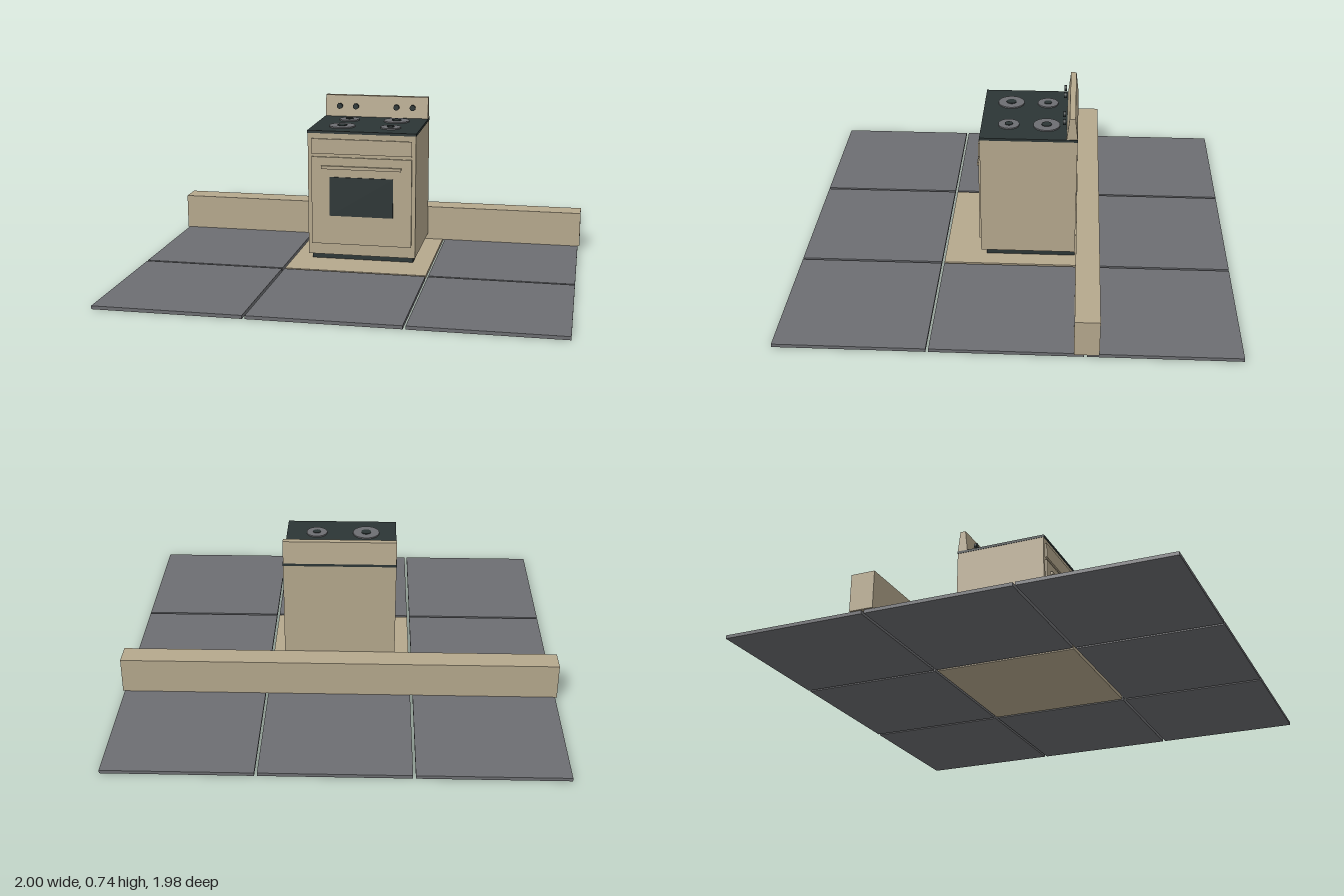
import * as THREE from 'three';

function mat(name, color) {
  const m = new THREE.MeshStandardMaterial({ color });
  m.name = name;
  return m;
}

export function createModel() {
  const model = new THREE.Group();
  model.name = 'kitchenStove';
  const beige = mat('beige enamel', 0xb5a88d);
  const grey = mat('slate grey', 0x6d6e72);
  const dark = mat('dark glass', 0x2c3535);

  function add(name, geometry, material, x = 0, y = 0, z = 0, parent = model) {
    const mesh = new THREE.Mesh(geometry, material);
    mesh.name = name;
    mesh.position.set(x, y, z);
    parent.add(mesh);
    return mesh;
  }
  // Box given by its limits on each axis
  function box(name, material, [x0, x1], [y0, y1], [z0, z1], parent) {
    return add(name, new THREE.BoxGeometry(x1 - x0, y1 - y0, z1 - z0), material,
      (x0 + x1) / 2, (y0 + y1) / 2, (z0 + z1) / 2, parent);
  }

  // Floor: nine tiles, the middle one beige
  const floor = new THREE.Group();
  floor.name = 'floor';
  model.add(floor);
  for (let i = -1; i <= 1; i++) {
    for (let j = -1; j <= 1; j++) {
      const middle = i === 0 && j === 0;
      add(middle ? 'middleTile' : 'floorTile', new THREE.BoxGeometry(0.653, 0.015, 0.653),
        middle ? beige : grey, i * 0.665, 0.0075, j * 0.665, floor);
    }
  }

  // Low wall behind the stove
  box('lowWall', beige, [-1, 1], [0.015, 0.18], [-0.39, -0.283]);

  // Stove body
  const stove = new THREE.Group();
  stove.name = 'stove';
  model.add(stove);
  box('toeKick', dark, [-0.24, 0.24], [0.015, 0.042], [-0.279, 0.135], stove);
  box('body', beige, [-0.253, 0.253], [0.042, 0.62], [-0.279, 0.16], stove);
  box('cooktop', dark, [-0.255, 0.255], [0.62, 0.632], [-0.28, 0.162], stove);

  // Front panels, window and handle
  box('upperPanel', beige, [-0.235, 0.235], [0.525, 0.595], [0.16, 0.168], stove);
  box('ovenDoor', beige, [-0.235, 0.235], [0.095, 0.51], [0.16, 0.168], stove);
  box('ovenWindow', dark, [-0.149, 0.149], [0.232, 0.417], [0.168, 0.172], stove);
  box('doorHandle', beige, [-0.187, 0.187], [0.455, 0.47], [0.168, 0.178], stove);

  // Backsplash with a tapered section, extruded along x
  const section = new THREE.Shape([
    new THREE.Vector2(0.28, 0.632), new THREE.Vector2(0.268, 0.735),
    new THREE.Vector2(0.242, 0.735), new THREE.Vector2(0.23, 0.632),
  ]);
  const splash = new THREE.ExtrudeGeometry(section, { depth: 0.506, bevelEnabled: false });
  splash.rotateY(Math.PI / 2);
  splash.rotateY(Math.PI);
  splash.translate(0.253, 0, 0);
  // Shape x runs towards the back, so bring it to -z
  splash.computeBoundingBox();
  if (splash.boundingBox.max.z > 0) {
    splash.rotateY(Math.PI);
  }
  splash.computeBoundingBox();
  splash.translate(-(splash.boundingBox.min.x + splash.boundingBox.max.x) / 2, 0, 0);
  add('backsplash', splash, beige, 0, 0, 0, stove);

  // Control knobs
  for (const x of [-0.18, -0.1, 0.1, 0.18]) {
    const knob = new THREE.CylinderGeometry(0.014, 0.014, 0.013, 16);
    knob.rotateX(Math.PI / 2);
    add('knob', knob, dark, x, 0.685, -0.218, stove);
  }

  // Burners: grey ring around a dark cap
  const burners = [
    [-0.115, -0.137, 0.048], [0.115, -0.137, 0.061],
    [-0.115, 0.036, 0.061], [0.115, 0.036, 0.048],
  ];
  for (const [x, z, r] of burners) {
    const ring = new THREE.Shape().absarc(0, 0, r, 0, Math.PI * 2);
    ring.holes.push(new THREE.Path().absarc(0, 0, r * 0.38, 0, Math.PI * 2, true));
    const geometry = new THREE.ExtrudeGeometry(ring,
      { depth: 0.006, bevelEnabled: false, curveSegments: 24 });
    geometry.rotateX(-Math.PI / 2);
    add('burnerRing', geometry, grey, x, 0.632, z, stove);
    add('burnerCap', new THREE.CylinderGeometry(r * 0.38, r * 0.38, 0.009, 24), dark,
      x, 0.6365, z, stove);
  }
  return model;
}
